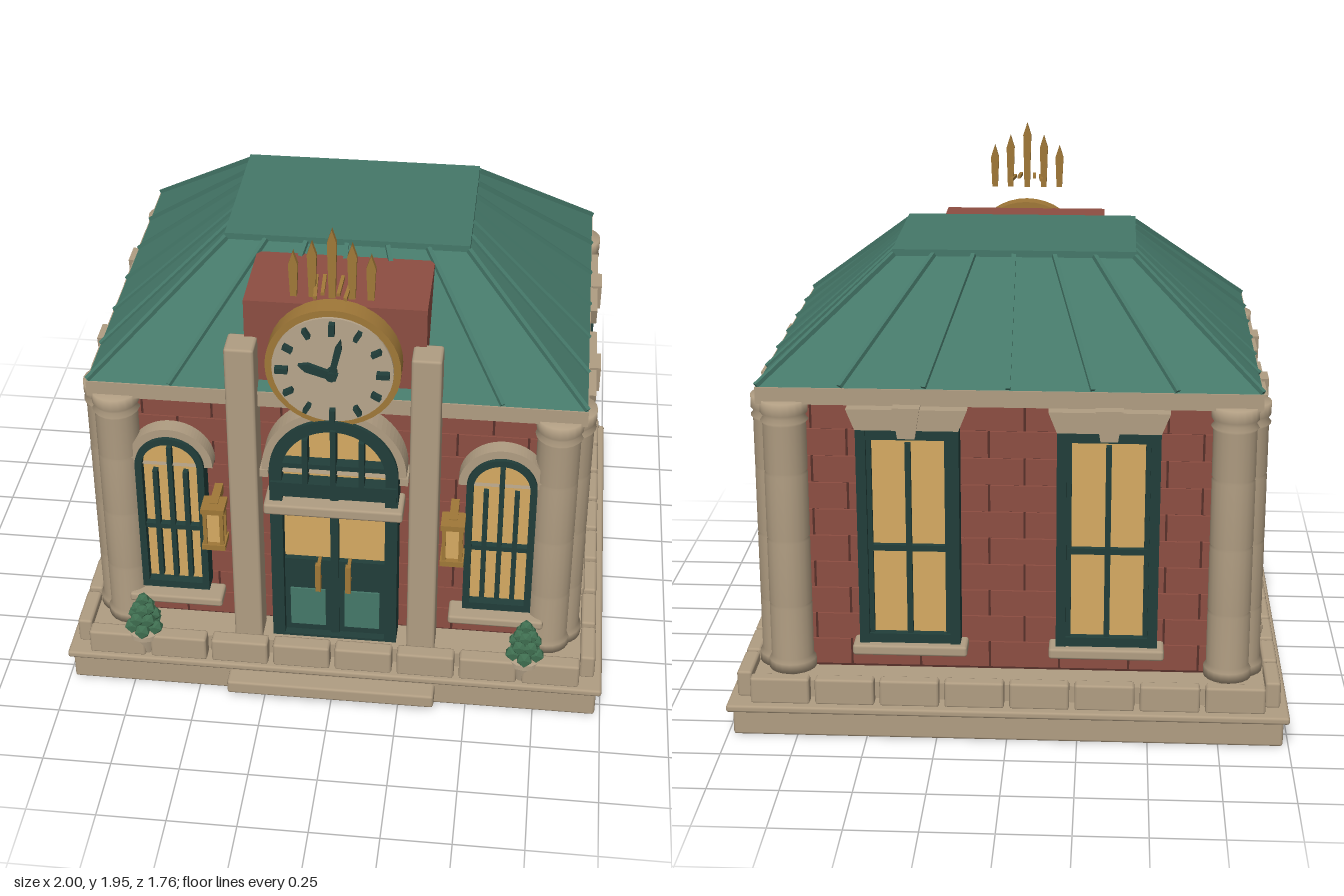
import * as THREE from 'three';
import { mergeGeometries } from 'three/addons/utils/BufferGeometryUtils.js';
import { RoundedBoxGeometry } from 'three/addons/geometries/RoundedBoxGeometry.js';

const material = (name, color) => Object.assign(new THREE.MeshStandardMaterial({ color }), { name });
const stone = material('stone', 0xb09d82);
const brick = material('brick', 0x8d4e42);
const mortar = material('mortar', 0x57302a);
const roofGreen = material('roof green', 0x457869);
const frameGreen = material('frame green', 0x213e3a);
const glass = material('warm glass', 0xd6aa62);
const gold = material('gold', 0xa07838);
const leaf = material('leaf', 0x3f6e50);
const pale = material('pale stone', 0xb7a58b);

const MID = -0.025; // depth centre of the building
const WX = 0.82, WZ = 0.64; // half sizes of the brick walls

function add(parent, name, geometry, mat, x = 0, y = 0, z = 0) {
  const mesh = new THREE.Mesh(geometry, mat);
  mesh.name = name;
  mesh.position.set(x, y, z);
  parent.add(mesh);
  return mesh;
}
const box = (parent, name, mat, w, h, d, x, y, z) =>
  add(parent, name, new THREE.BoxGeometry(w, h, d), mat, x, y, z);
const block = (parent, name, mat, w, h, d, x, y, z) =>
  add(parent, name, new RoundedBoxGeometry(w, h, d, 1, 0.01), mat, x, y, z);

function group(parent, name, x = 0, y = 0, z = 0, turn = 0) {
  const g = new THREE.Group();
  g.name = name;
  g.position.set(x, y, z);
  g.rotation.y = turn;
  parent.add(g);
  return g;
}

// Round-headed outline, used as a solid or as a hole
function archOutline(half, bottom, spring, Type = THREE.Shape) {
  const s = new Type();
  s.moveTo(-half, bottom);
  s.lineTo(half, bottom);
  s.lineTo(half, spring);
  s.absarc(0, spring, half, 0, Math.PI, false);
  s.lineTo(-half, bottom);
  return s;
}
function archGeometry(half, bottom, spring, depth, inner, innerBottom = bottom) {
  const s = archOutline(half, bottom, spring);
  if (inner) s.holes.push(archOutline(inner, innerBottom, spring, THREE.Path));
  return new THREE.ExtrudeGeometry(s, { depth, bevelEnabled: false, curveSegments: 20 });
}
function polygonGeometry(points, depth) {
  const s = new THREE.Shape(points.map(([x, y]) => new THREE.Vector2(x, y)));
  return new THREE.ExtrudeGeometry(s, { depth, bevelEnabled: false });
}

// Staggered bricks standing just proud of the mortar
function brickFace(parent, width, x, z, turn) {
  const g = group(parent, 'brickFace', x, 0, z, turn), parts = [], L = 0.25;
  for (let row = 0; row < 10; row++) {
    for (let a = -width / 2 - (row % 2) * L / 2; a < width / 2; a += L) {
      const x0 = Math.max(a, -width / 2), x1 = Math.min(a + L, width / 2);
      if (x1 - x0 < 0.03) continue;
      parts.push(new THREE.BoxGeometry(x1 - x0 - 0.008, 0.096, 0.012)
        .translate((x0 + x1) / 2, 0.25 + row * 0.1, 0.006));
    }
  }
  add(g, 'bricks', mergeGeometries(parts), brick);
}

function tallWindow(parent, x, z, turn) {
  const g = group(parent, 'tallWindow', x, 0, z, turn);
  box(g, 'windowGlass', glass, 0.3, 0.76, 0.04, 0, 0.72, 0.02);
  for (const s of [-1, 1]) {
    box(g, 'outerJamb', frameGreen, 0.035, 0.8, 0.075, s * 0.1625, 0.72, 0.0375);
    box(g, 'innerJamb', frameGreen, 0.02, 0.75, 0.058, s * 0.138, 0.72, 0.029);
    box(g, 'frameRail', frameGreen, 0.33, 0.035, 0.07, 0, 0.72 + s * 0.383, 0.035);
  }
  box(g, 'mullion', frameGreen, 0.02, 0.72, 0.06, 0, 0.71, 0.03);
  box(g, 'crossBar', frameGreen, 0.28, 0.022, 0.06, 0, 0.68, 0.03);
  block(g, 'sill', stone, 0.41, 0.04, 0.1, 0, 0.3, 0.05);
  add(g, 'lintel', polygonGeometry([[-0.18, 1.125], [0.18, 1.125], [0.21, 1.2], [-0.21, 1.2]], 0.085), stone);
  add(g, 'keystone', polygonGeometry([[-0.03, 1.1], [0.03, 1.1], [0.048, 1.21], [-0.048, 1.21]], 0.1), stone);
}

function archedWindow(parent, x, z) {
  const g = group(parent, 'archedWindow', x, 0, z);
  add(g, 'windowGlass', archGeometry(0.11, 0.39, 0.92, 0.04), glass);
  add(g, 'windowFrame', archGeometry(0.125, 0.37, 0.925, 0.075, 0.1, 0.4), frameGreen);
  add(g, 'stoneArch', archGeometry(0.155, 0.925, 0.926, 0.06, 0.124, 0.9251), stone);
  box(g, 'mullion', frameGreen, 0.018, 0.59, 0.065, 0, 0.71, 0.0325);
  for (const s of [-1, 1]) box(g, 'sideMullion', frameGreen, 0.018, 0.48, 0.065, s * 0.055, 0.66, 0.0325);
  box(g, 'crossBar', frameGreen, 0.21, 0.02, 0.065, 0, 0.65, 0.0325);
  block(g, 'sill', stone, 0.35, 0.036, 0.1, 0, 0.328, 0.05);
}

// Round column with a base, joint grooves and a capital
function columnGeometry() {
  const p = [[0, 0.2], [0.086, 0.2], [0.086, 0.235], [0.077, 0.25]];
  for (const y of [0.45, 0.7, 0.95]) p.push([0.077, y - 0.006], [0.07, y], [0.077, y + 0.006]);
  p.push([0.077, 1.13], [0.085, 1.14], [0.073, 1.155], [0.084, 1.17], [0.084, 1.215], [0, 1.215]);
  const g = new THREE.LatheGeometry(p.map(([r, y]) => new THREE.Vector2(r, y)), 20).toNonIndexed();
  return g;
}

function rod(parent, name, mat, a, b, w, d) {
  const m = box(parent, name, mat, w, d, a.distanceTo(b), 0, 0, 0);
  m.position.copy(a).add(b).multiplyScalar(0.5);
  m.lookAt(b);
}

function buildBase(root) {
  const g = group(root, 'base');
  block(g, 'foundation', stone, 1.96, 0.105, 1.66, 0, 0.0525, -0.02);
  block(g, 'ledge', stone, 2, 0.028, 1.7, 0, 0.113, -0.03);
  block(g, 'frontStep', stone, 0.77, 0.055, 0.1, 0, 0.065, 0.83);
  box(g, 'plinth', stone, 1.85, 0.07, 1.53, 0, 0.155, -0.025);
  for (let i = 0; i < 8; i++) {
    const x = (i - 3.5) * 0.231, z = MID + (i - 3.5) * 0.195;
    block(g, 'frontBlock', stone, 0.212, 0.1, 0.06, x, 0.172, 0.775);
    block(g, 'backBlock', stone, 0.212, 0.1, 0.05, x, 0.172, -0.825);
    for (const s of [-1, 1]) block(g, 'sideBlock', stone, 0.055, 0.1, 0.178, s * 0.943, 0.172, z);
  }
}

function buildRoof(root) {
  const g = group(root, 'roof');
  box(g, 'cornice', stone, 1.755, 0.06, 1.39, 0, 1.235, MID);
  // Hipped body: the top of a box is drawn in
  const hip = new THREE.BoxGeometry(1.75, 0.38, 1.38), p = hip.attributes.position;
  for (let i = 0; i < p.count; i++) {
    if (p.getY(i) > 0) { p.setX(i, p.getX(i) * 0.49); p.setZ(i, p.getZ(i) * 0.43); }
  }
  hip.computeVertexNormals();
  add(g, 'hippedRoof', hip, roofGreen, 0, 1.455, MID);
  box(g, 'roofCap', roofGreen, 0.87, 0.028, 0.6, 0, 1.652, MID);
  const low = (u, v) => new THREE.Vector3(u * 0.873, 1.268, MID + v * 0.688);
  const high = (u, v) => new THREE.Vector3(u * 0.43, 1.648, MID + v * 0.297);
  for (const s of [-1, 1]) {
    for (let i = 0; i <= 6; i++) {
      const t = i / 3 - 1;
      rod(g, 'seam', roofGreen, low(t, s), high(t, s), 0.016, 0.02);
      if (i > 0 && i < 6) rod(g, 'seam', roofGreen, low(s, t), high(s, t), 0.016, 0.02);
    }
  }
  box(g, 'dormer', brick, 0.63, 0.37, 0.4, 0, 1.43, 0.435);
}

function buildEntrance(root) {
  const g = group(root, 'entrance', 0, 0, 0.615);
  add(g, 'archGlass', archGeometry(0.2, 0.55, 0.96, 0.055), glass);
  add(g, 'doorFrame', archGeometry(0.23, 0.2, 0.96, 0.1, 0.185, 0.21), frameGreen);
  add(g, 'stoneArch', archGeometry(0.258, 0.95, 0.96, 0.085, 0.229, 0.951), stone);
  box(g, 'transom', frameGreen, 0.45, 0.06, 0.11, 0, 0.89, 0.055);
  block(g, 'doorHood', stone, 0.5, 0.045, 0.13, 0, 0.808, 0.065);
  for (const x of [-0.1, 0, 0.1]) box(g, 'fanlightBar', frameGreen, 0.02, x ? 0.22 : 0.25, 0.11, x, x ? 1.0 : 1.03, 0.055);
  box(g, 'fanlightRail', frameGreen, 0.37, 0.02, 0.1, 0, 0.99, 0.05);
  box(g, 'doorMeeting', frameGreen, 0.03, 0.65, 0.08, 0, 0.53, 0.04);
  for (const s of [-1, 1]) {
    box(g, 'lowerDoor', frameGreen, 0.18, 0.34, 0.07, s * 0.1, 0.375, 0.035);
    box(g, 'doorPanel', roofGreen, 0.13, 0.17, 0.008, s * 0.1, 0.325, 0.073);
    box(g, 'doorHandle', gold, 0.02, 0.12, 0.02, s * 0.055, 0.51, 0.125);
    for (const y of [0.47, 0.55]) box(g, 'handleMount', gold, 0.012, 0.012, 0.06, s * 0.055, y, 0.09);
    block(g, 'pilaster', stone, 0.105, 1.29, 0.11, s * 0.322, 0.825, 0.055);
    box(g, 'impost', stone, 0.03, 0.03, 0.09, s * 0.25, 0.94, 0.045);
  }
}

function buildClock(root) {
  const g = group(root, 'clock', 0, 1.405, 0);
  const disc = (r, d) => new THREE.CylinderGeometry(r, r, d, 40).rotateX(Math.PI / 2);
  add(g, 'clockRim', disc(0.235, 0.075), gold, 0, 0, 0.67);
  add(g, 'clockFace', disc(0.21, 0.01), pale, 0, 0, 0.712);
  for (let i = 0; i < 12; i++) {
    const a = i * Math.PI / 6, r = 0.175, main = i % 3 === 0;
    const m = box(g, 'hourMark', frameGreen, main ? 0.02 : 0.015, main ? 0.045 : 0.035, 0.025,
      Math.sin(a) * r, Math.cos(a) * r, 0.729);
    m.rotation.z = -a;
  }
  for (const [name, a, len, w] of [['hourHand', -1.25, 0.12, 0.028], ['minuteHand', 0.22, 0.15, 0.02]]) {
    const hand = add(g, name, polygonGeometry([[-w / 2, -0.02], [w / 2, -0.02], [w * 0.6, len * 0.75], [0, len], [-w * 0.6, len * 0.75]], 0.015), frameGreen, 0, 0, 0.74);
    hand.rotation.z = -a;
  }
  add(g, 'handHub', disc(0.018, 0.045), frameGreen, 0, 0, 0.738);

  // Pointed crest above the clock
  const crest = group(root, 'crest', 0, 0, 0.69);
  for (const [x, top] of [[0, 1.95], [0.067, 1.9], [0.13, 1.86]]) {
    for (const s of x ? [-1, 1] : [1]) {
      add(crest, 'crestSpike', polygonGeometry([[-0.011, 1.69], [0.011, 1.69], [0.016, top - 0.05], [0, top], [-0.016, top - 0.05]], 0.02), gold, s * x);
      if (x) rod(crest, 'crestBrace', gold, new THREE.Vector3(0, 1.69, 0.01), new THREE.Vector3(s * x * 0.85, 1.8 - x * 0.3, 0.01), 0.012, 0.012);
    }
  }
}

function buildLantern(root, x) {
  const g = group(root, 'lantern', x, 0, 0.73);
  box(g, 'lanternGlass', glass, 0.055, 0.13, 0.055, 0, 0.72, 0);
  box(g, 'lanternBracket', gold, 0.03, 0.04, 0.12, 0, 0.795, -0.055);
  for (const y of [0.64, 0.8]) box(g, 'lanternPlate', gold, 0.085, 0.022, 0.085, 0, y, 0);
  for (const u of [-1, 1]) for (const v of [-1, 1]) box(g, 'lanternPost', gold, 0.014, 0.16, 0.014, u * 0.03, 0.72, v * 0.03);
}

function buildPlanter(root, x) {
  const g = group(root, 'planter', x, 0, 0.755);
  add(g, 'pot', new THREE.CylinderGeometry(0.057, 0.04, 0.08, 14), pale, 0, 0.168, 0);
  add(g, 'potRim', new THREE.CylinderGeometry(0.066, 0.066, 0.02, 14), pale, 0, 0.212, 0);
  const leaves = [new THREE.IcosahedronGeometry(0.026, 0).translate(0, 0.358, 0)];
  [[0.24, 0.045], [0.283, 0.036], [0.322, 0.022]].forEach(([y, r], k) => {
    for (let i = 0; i < 5; i++) {
      const a = (i + k * 0.5) * Math.PI * 0.4;
      leaves.push(new THREE.IcosahedronGeometry(0.031 - k * 0.002, 0).translate(Math.sin(a) * r, y, Math.cos(a) * r));
    }
  });
  add(g, 'foliage', mergeGeometries(leaves), leaf);
}

export function createModel() {
  const root = new THREE.Group();
  root.name = 'clockBuilding';
  buildBase(root);

  // Brick walls
  box(root, 'wallCore', mortar, WX * 2 - 0.02, 1.05, WZ * 2 - 0.02, 0, 0.69, MID);
  for (const s of [-1, 1]) {
    brickFace(root, WX * 2, 0, MID + s * (WZ - 0.012), s > 0 ? 0 : Math.PI);
    brickFace(root, WZ * 2, s * (WX - 0.012), MID, s * Math.PI / 2);
  }

  // Paired columns, windows, lanterns and planters
  const column = columnGeometry();
  for (const s of [-1, 1]) {
    for (const t of [-1, 1]) {
      add(root, 'column', column, stone, s * 0.785, 0, MID + t * 0.652);
      add(root, 'column', column, stone, s * 0.827, 0, MID + t * 0.595);
    }
    for (const z of [0.26, -0.305]) tallWindow(root, s * WX, z, s * Math.PI / 2);
    tallWindow(root, s * 0.35, MID - WZ, Math.PI);
    archedWindow(root, s * 0.595, MID + WZ);
    buildLantern(root, s * 0.43);
    buildPlanter(root, s * 0.71);
  }

  buildRoof(root);
  buildEntrance(root);
  buildClock(root);
  return root;
}
